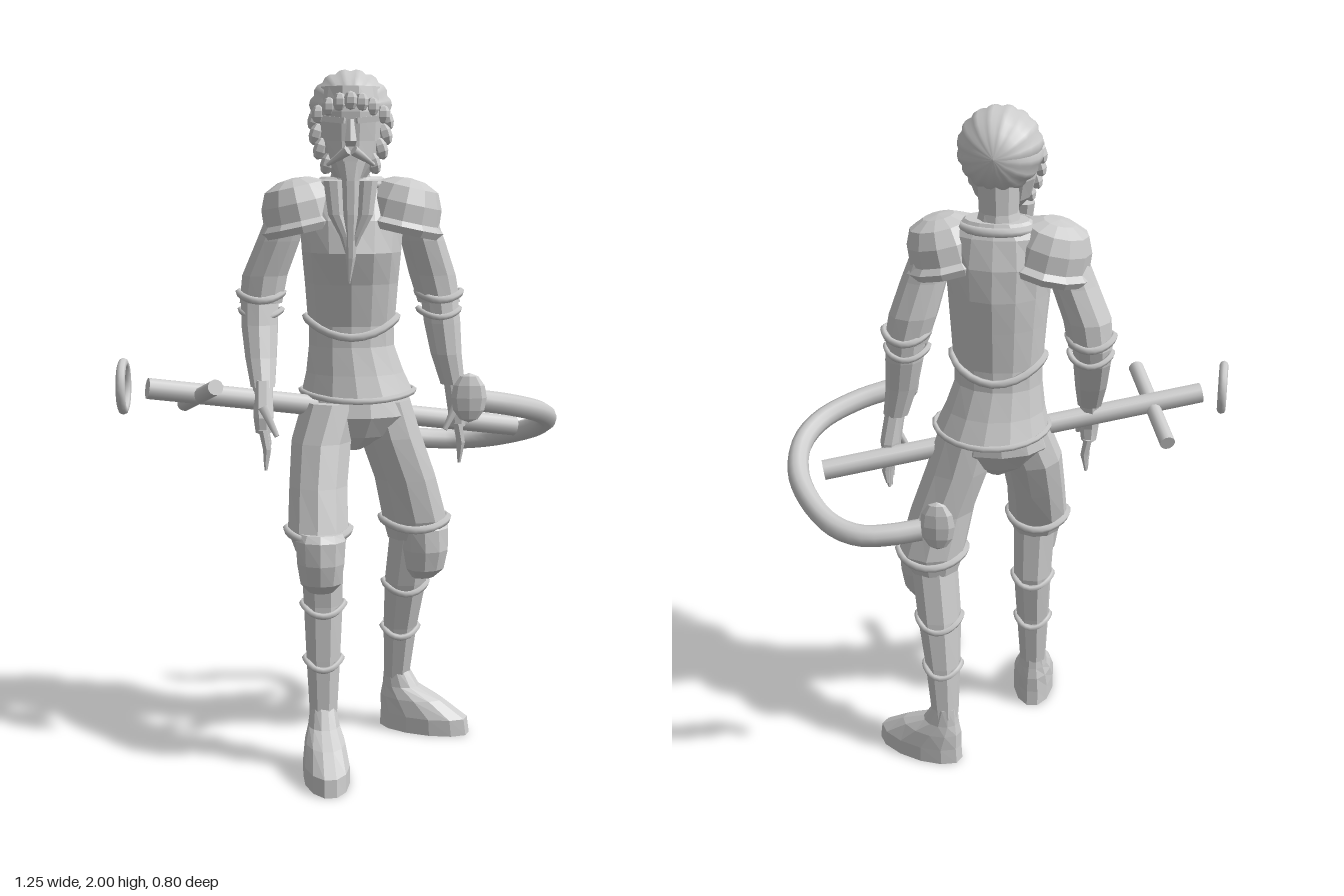
import * as THREE from 'three';

const grey = new THREE.MeshStandardMaterial({ color: 0xcccccc, side: THREE.DoubleSide });
grey.name = 'plain grey';

// Faceted normals for low-poly parts
function facet(geo) {
  const g = geo.index ? geo.toNonIndexed() : geo;
  g.computeVertexNormals();
  return g;
}

// Closed skin over horizontal ellipses [x, y, z, rx, rz], listed from top to bottom
function loft(sections, sides = 10) {
  const pos = [], idx = [], last = sections.length - 1;
  for (const [x, y, z, rx, rz] of sections)
    for (let j = 0; j < sides; j++) {
      const a = ((j + 0.5) / sides) * Math.PI * 2;
      pos.push(x + Math.cos(a) * rx, y, z + Math.sin(a) * rz);
    }
  for (let i = 0; i < last; i++)
    for (let j = 0; j < sides; j++) {
      const k = (j + 1) % sides, a = i * sides, b = a + sides;
      idx.push(a + j, a + k, b + j, a + k, b + k, b + j);
    }
  const top = pos.length / 3;
  pos.push(...sections[0].slice(0, 3), ...sections[last].slice(0, 3));
  for (let j = 0; j < sides; j++) {
    const k = (j + 1) % sides, b = last * sides;
    idx.push(top, k, j, top + 1, b + j, b + k);
  }
  const g = new THREE.BufferGeometry();
  g.setAttribute('position', new THREE.Float32BufferAttribute(pos, 3));
  g.setIndex(idx);
  return facet(g);
}

const V = (p) => new THREE.Vector3(...p);

function add(parent, name, geo, p = [0, 0, 0], r = [0, 0, 0]) {
  const m = new THREE.Mesh(geo, grey);
  m.name = name;
  m.position.set(...p);
  m.rotation.set(...r);
  parent.add(m);
  return m;
}

// Straight round rod between two points
function rod(parent, name, a, b, radius, radiusEnd = radius, sides = 12) {
  const d = V(b).sub(V(a));
  const m = add(parent, name, new THREE.CylinderGeometry(radiusEnd, radius, d.length(), sides));
  m.position.copy(V(a)).addScaledVector(d, 0.5);
  m.quaternion.setFromUnitVectors(new THREE.Vector3(0, 1, 0), d.normalize());
  return m;
}

// Thin closed trim around a limb or the body; dip lowers it at front and back
function trim(parent, name, [x, y, z, rx, rz], thick, dip = 0) {
  const pts = [];
  for (let i = 0; i < 12; i++) {
    const a = (i / 12) * Math.PI * 2;
    pts.push(new THREE.Vector3(x + Math.cos(a) * rx, y - dip * Math.sin(a) ** 2, z + Math.sin(a) * rz));
  }
  add(parent, name, new THREE.TubeGeometry(new THREE.CatmullRomCurve3(pts, true), 24, thick, 5, true));
}

const ball = (rx, ry, rz, w = 10, h = 7) => facet(new THREE.SphereGeometry(1, w, h).scale(rx, ry, rz));

function buildHead(parent) {
  const head = new THREE.Group();
  head.name = 'head';
  head.position.x = 0.012;
  parent.add(head);
  add(head, 'neck', loft([[0, 1.82, -0.03, 0.06, 0.06], [0, 1.72, -0.035, 0.055, 0.055], [0, 1.64, -0.04, 0.075, 0.065]]));
  add(head, 'face', loft([[0, 1.95, 0.02, 0.085, 0.1], [0, 1.88, 0.025, 0.1, 0.108], [0, 1.8, 0.03, 0.095, 0.1],
    [0, 1.74, 0.05, 0.078, 0.085], [0, 1.7, 0.075, 0.045, 0.05]], 12));

  // Hair swept back in ridges, poles at front and back
  const hair = new THREE.SphereGeometry(1, 48, 10).rotateX(Math.PI / 2);
  const p = hair.attributes.position;
  for (let i = 0; i < p.count; i++) {
    const a = Math.atan2(p.getY(i), p.getX(i));
    const f = 0.95 + 0.06 * Math.abs(Math.sin(a * 8));
    const low = p.getY(i) < 0 ? 1 + 0.1 * Math.max(0, -p.getZ(i)) : 1;
    p.setXYZ(i, p.getX(i) * f * 0.118, 1.885 + p.getY(i) * f * 0.115 * low, -0.008 + p.getZ(i) * 0.122);
  }
  hair.computeVertexNormals();
  add(head, 'hair', hair);
  for (let i = -3; i <= 3; i++)
    add(head, 'fringe', ball(0.02, 0.026, 0.018, 6, 5), [i * 0.03, 1.91 - 0.004 * i * i, 0.128 - 0.006 * i * i]);
  for (const s of [-1, 1]) {
    for (let i = 0; i < 4; i++)
      add(head, 'sideWhisker', ball(0.02, 0.032, 0.022, 6, 5), [s * (0.1 - i * i * 0.004), 1.86 - i * 0.04, 0.05 + i * 0.014], [0, 0, s * 0.3]);
    add(head, 'brow', new THREE.BoxGeometry(0.062, 0.016, 0.024), [s * 0.045, 1.858, 0.126], [0, s * 0.3, s * 0.1]);
    rod(head, 'moustache', [s * 0.008, 1.775, 0.143], [s * 0.065, 1.735, 0.115], 0.015, 0.005, 6);
  }
  add(head, 'nose', loft([[0, 1.86, 0.13, 0.01, 0.01], [0, 1.8, 0.14, 0.019, 0.02], [0, 1.785, 0.132, 0.014, 0.012]], 6));
  add(head, 'chinTuft', loft([[0, 1.745, 0.115, 0.045, 0.03], [0, 1.69, 0.13, 0.025, 0.02]], 8));
  // Three long beard locks
  for (const s of [-1, 0, 1]) {
    const tip = s ? 1.47 : 1.41;
    add(head, 'beardLock', loft([[s * 0.048, 1.692, 0.137, 0.029, 0.033], [s * 0.04, 1.6, 0.145, 0.024, 0.027],
      [s * 0.016, tip + 0.07, 0.15, 0.015, 0.015], [-0.004, tip, 0.15, 0.003, 0.003]], 8));
  }
}

function buildBody(parent) {
  add(parent, 'breastplate', loft([[0.015, 1.7, -0.045, 0.09, 0.055], [0.015, 1.66, -0.035, 0.14, 0.085],
    [0.015, 1.58, -0.02, 0.152, 0.122], [0.015, 1.49, -0.01, 0.145, 0.138], [0.015, 1.4, -0.022, 0.137, 0.12],
    [0.015, 1.28, -0.03, 0.128, 0.105]], 14));
  add(parent, 'tunic', loft([[0.015, 1.32, -0.03, 0.125, 0.1], [0.015, 1.22, -0.03, 0.126, 0.106],
    [0.025, 1.14, -0.035, 0.145, 0.128], [0.033, 1.075, -0.04, 0.168, 0.15]], 14));
  trim(parent, 'breastplateRim', [0.015, 1.3, -0.03, 0.132, 0.112], 0.012, 0.05);
  trim(parent, 'collar', [0.015, 1.68, -0.035, 0.105, 0.075], 0.013, 0);
  trim(parent, 'tunicHem', [0.033, 1.085, -0.04, 0.165, 0.148], 0.009, 0.015);
  add(parent, 'hips', loft([[0.03, 1.1, -0.03, 0.14, 0.115], [0.03, 1.02, -0.02, 0.16, 0.125],
    [0.025, 0.96, -0.01, 0.11, 0.09], [0.02, 0.92, 0, 0.03, 0.05]], 12));
}

// s is the side: -1 right, 1 left
function buildArm(parent, s, upper, fore, palm) {
  const arm = new THREE.Group();
  arm.name = s < 0 ? 'rightArm' : 'leftArm';
  parent.add(arm);
  add(arm, 'sleeve', loft(upper));
  add(arm, 'forearm', loft(fore));
  const [ex, ey, ez, erx, erz] = upper[upper.length - 1];
  trim(arm, 'elbowCuff', [ex, ey + 0.03, ez, erx, erz], 0.011, 0.02);
  trim(arm, 'elbowCuff', [ex, ey - 0.02, ez, erx - 0.004, erz - 0.004], 0.009, 0.02);
  // Shoulder guard with flared edge
  const guard = [[0.12, -0.035], [0.128, -0.015], [0.112, 0.0], [0.108, 0.05], [0.088, 0.095], [0.045, 0.115], [0, 0.12]];
  const pauldron = new THREE.LatheGeometry(guard.map((q) => new THREE.Vector2(...q)), 12);
  add(arm, 'shoulderGuard', facet(pauldron), [0.015 + s * 0.142, 1.58, -0.02], [0, 0, s * -0.22]);
  // Palm, fingers and thumb
  const [x, y, z] = palm;
  add(arm, 'palm', loft([[fore.at(-1)[0], fore.at(-1)[1] + 0.02, fore.at(-1)[2], 0.03, 0.032], [x, y, z, 0.03, 0.046], [x, y - 0.045, z, 0.024, 0.044]], 8));
  for (let i = 0; i < 4; i++) {
    const fz = z - 0.036 + i * 0.024, len = [0.09, 0.115, 0.12, 0.1][i];
    add(arm, 'finger', loft([[x, y - 0.035, fz, 0.014, 0.013], [x + 0.01, y - 0.035 - len * 0.55, fz, 0.012, 0.011],
      [x + 0.006, y - 0.035 - len, fz, 0.005, 0.005]], 6));
  }
  rod(arm, 'thumb', [x, y + 0.03, z + 0.03], [x - s * 0.04, y - 0.05, z + 0.05], 0.016, 0.008, 6);
}

function buildLeg(parent, name, thigh, shin, knee, turn, footTurn) {
  const leg = new THREE.Group();
  leg.name = name;
  parent.add(leg);
  add(leg, 'thigh', loft(thigh));
  trim(leg, 'thighCuff', thigh[thigh.length - 2], 0.012, 0.02);
  add(leg, 'shin', loft(shin, 8));
  for (const i of [1, 2]) {
    const [x, y, z, rx, rz] = shin[i];
    trim(leg, 'greaveBand', [x, y, z, rx, rz], 0.01, 0.025);
  }
  add(leg, 'kneeGuard', loft([[0, 0.085, 0, 0.065, 0.05], [0, 0.065, 0, 0.074, 0.066], [0, 0, 0, 0.07, 0.07],
    [0, -0.06, 0, 0.06, 0.055], [0, -0.09, -0.01, 0.035, 0.03]], 10), knee, [0, turn, 0]);
  const a = shin.at(-1);
  add(leg, 'boot', loft([[0, 0.19, 0, 0.038, 0.038], [0, 0.135, 0.015, 0.046, 0.058], [0, 0.1, 0.05, 0.058, 0.1],
    [0, 0.05, 0.09, 0.066, 0.14], [0, 0, 0.092, 0.066, 0.145]], 12), [a[0], 0, a[2]], [0, footTurn, 0]);
}

function buildGear(parent) {
  // Long shaft with crossbar and a ring beyond its end
  rod(parent, 'shaft', [-0.555, 1.12, 0.18], [0.507, 0.955, -0.16], 0.03);
  rod(parent, 'crossbar', [-0.473, 1.045, -0.02], [-0.355, 1.14, 0.295], 0.022);
  add(parent, 'pommelRing', new THREE.TorusGeometry(0.066, 0.013, 8, 24), [-0.618, 1.13, 0.206], [0, Math.PI / 2, 0]);
  // Curved limb lying on a slope, with a leaf-like knob at each end
  const path = [[0.37, 0.155], [0.46, 0.105], [0.555, 0.02], [0.592, -0.07], [0.575, -0.185],
    [0.507, -0.29], [0.43, -0.355], [0.35, -0.38], [0.27, -0.37], [0.185, -0.345]];
  const curve = new THREE.CatmullRomCurve3(path.map(([x, z]) => new THREE.Vector3(x, 1.022 + 0.39 * z, z)));
  add(parent, 'curvedLimb', new THREE.TubeGeometry(curve, 30, 0.031, 10));
  for (const t of [0, 1]) {
    const e = curve.getPoint(t);
    add(parent, 'limbCap', new THREE.CircleGeometry(0.031, 10), e.toArray(), [0, -Math.PI / 2 - (t ? 0.25 : -0.5), 0]);
  }
  add(parent, 'frontKnob', ball(0.05, 0.07, 0.02, 8, 6), [0.342, 1.095, 0.188]);
  add(parent, 'backKnob', ball(0.05, 0.075, 0.02, 8, 6), [0.14, 0.9, -0.34]);
}

export function createModel() {
  const model = new THREE.Group();
  model.name = 'beardedWarrior';
  buildHead(model);
  buildBody(model);
  buildArm(model, -1,
    [[-0.15, 1.64, -0.02, 0.06, 0.07], [-0.195, 1.52, -0.025, 0.065, 0.07], [-0.235, 1.42, -0.035, 0.068, 0.07], [-0.247, 1.34, -0.035, 0.064, 0.066]],
    [[-0.25, 1.35, -0.03, 0.056, 0.058], [-0.25, 1.28, -0.01, 0.055, 0.056], [-0.245, 1.19, 0.03, 0.047, 0.048], [-0.238, 1.11, 0.075, 0.036, 0.037]],
    [-0.235, 1.03, 0.11]);
  buildArm(model, 1,
    [[0.18, 1.64, -0.025, 0.06, 0.07], [0.22, 1.52, -0.04, 0.066, 0.07], [0.25, 1.42, -0.06, 0.07, 0.07], [0.27, 1.34, -0.065, 0.064, 0.066]],
    [[0.272, 1.35, -0.065, 0.056, 0.058], [0.28, 1.28, -0.06, 0.055, 0.056], [0.292, 1.19, -0.05, 0.047, 0.048], [0.312, 1.1, -0.05, 0.037, 0.037]],
    [0.328, 1.02, -0.06]);
  buildLeg(model, 'rightLeg',
    [[-0.04, 1.06, 0, 0.09, 0.11], [-0.072, 0.95, 0.04, 0.09, 0.108], [-0.08, 0.83, 0.09, 0.087, 0.1], [-0.08, 0.71, 0.14, 0.09, 0.092], [-0.075, 0.65, 0.15, 0.072, 0.075]],
    [[-0.07, 0.67, 0.15, 0.066, 0.068], [-0.066, 0.49, 0.137, 0.06, 0.063], [-0.066, 0.33, 0.15, 0.052, 0.052], [-0.066, 0.16, 0.16, 0.042, 0.042]],
    [-0.072, 0.625, 0.195], 0, 0.1);
  buildLeg(model, 'leftLeg',
    [[0.1, 1.06, -0.04, 0.09, 0.11], [0.13, 0.95, -0.05, 0.095, 0.108], [0.175, 0.82, -0.07, 0.095, 0.1], [0.205, 0.69, -0.095, 0.1, 0.098], [0.2, 0.63, -0.1, 0.078, 0.078]],
    [[0.2, 0.66, -0.1, 0.07, 0.072], [0.18, 0.48, -0.135, 0.066, 0.068], [0.166, 0.33, -0.165, 0.054, 0.055], [0.157, 0.16, -0.19, 0.041, 0.041]],
    [0.237, 0.6, -0.065], 0.6, 1.2);
  buildGear(model);
  return model;
}
